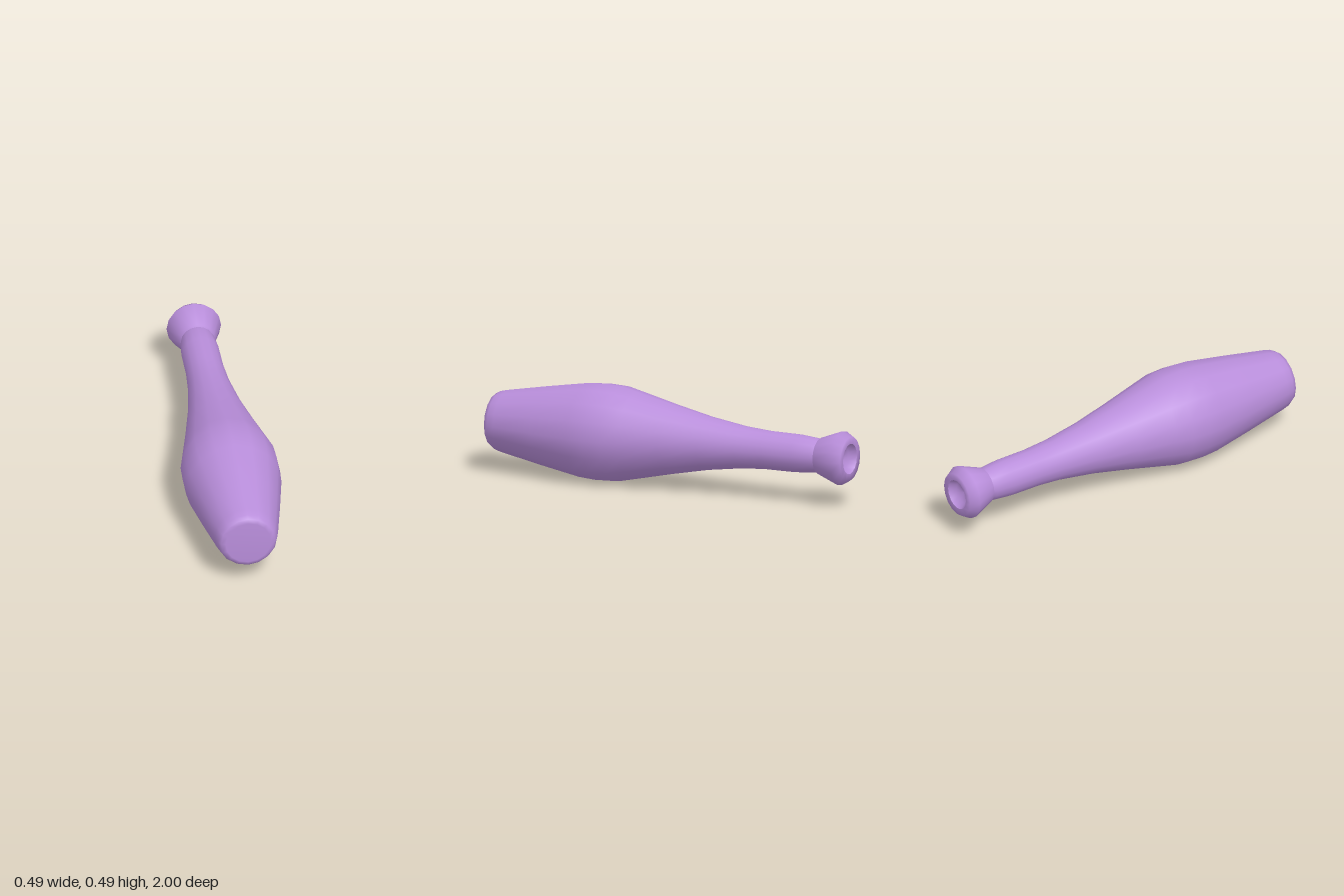
import * as THREE from 'three';

const CENTRE_Y = 0.248;

export function createModel() {
  const group = new THREE.Group();
  group.name = 'jugglingClub';
  const lilac = new THREE.MeshStandardMaterial({ color: 0xb98edb });
  lilac.name = 'lilac';

  // Sixteen-sided turned part lying along z; profile is [radius, z] from back to front
  function turned(name, profile) {
    const points = profile.map(([r, z]) => new THREE.Vector2(r, z));
    const geometry = new THREE.LatheGeometry(points, 16).rotateX(Math.PI / 2);
    const mesh = new THREE.Mesh(geometry, lilac);
    mesh.name = name;
    mesh.position.y = CENTRE_Y;
    group.add(mesh);
  }

  // Handle swelling into the belly, then tapering to the rounded front end
  turned('body', [
    [0.075, -0.86], [0.088, -0.81], [0.097, -0.71], [0.098, -0.54],
    [0.108, -0.4], [0.137, -0.2], [0.178, 0], [0.223, 0.2], [0.243, 0.29],
    [0.247, 0.39], [0.241, 0.48], [0.203, 0.7], [0.16, 0.93],
    [0.15, 0.97], [0.137, 0.992], [0.115, 1], [0, 1],
  ]);

  // Flared knob with a shallow hollow in its back face
  turned('knob', [
    [0, -0.955], [0.055, -0.965], [0.077, -1],
  ]);
  group.children[1].name = 'knobHollow';
  turned('knob', [
    [0.077, -1], [0.112, -1], [0.138, -0.955], [0.092, -0.835], [0.07, -0.825],
  ]);

  return group;
}
